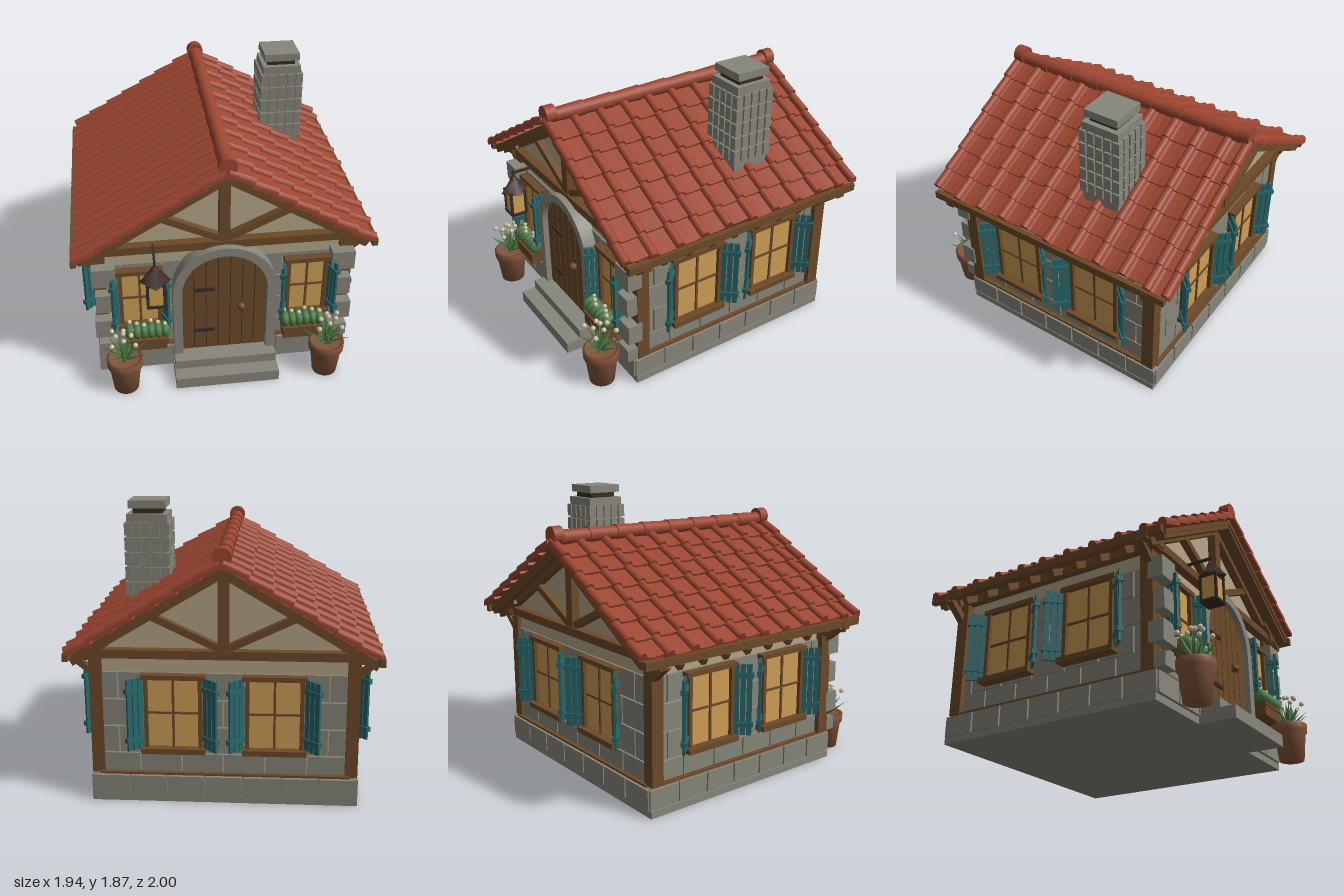
import * as THREE from 'three';

const M = {};
for (const [n, c] of Object.entries({
  roofTile: 0x9c4631, wood: 0x6d4a29, stone: 0x88867b, plaster: 0xb5a687, teal: 0x29676a,
  glow: 0xcf9f57, iron: 0x3a2b25, terracotta: 0x82553a, leaf: 0x4d7846, blossom: 0xd2c5a8,
})) { M[n] = new THREE.MeshStandardMaterial({ color: c }); M[n].name = n; }

function add(parent, name, geo, mat, x = 0, y = 0, z = 0) {
  const m = new THREE.Mesh(geo, mat);
  m.name = name;
  m.position.set(x, y, z);
  parent.add(m);
  return m;
}
const box = (p, n, mat, w, h, d, x, y, z) => add(p, n, new THREE.BoxGeometry(w, h, d), mat, x, y, z);
const cyl = (p, n, mat, r1, r2, h, x, y, z, s = 20) => add(p, n, new THREE.CylinderGeometry(r1, r2, h, s), mat, x, y, z);
function group(parent, name, x = 0, y = 0, z = 0) {
  const g = new THREE.Group();
  g.name = name;
  g.position.set(x, y, z);
  parent.add(g);
  return g;
}
// Timber running between two points of a plane facing z
function beam(p, n, x1, y1, x2, y2, z, t, d, mat = M.wood) {
  const b = box(p, n, mat, Math.hypot(x2 - x1, y2 - y1), t, d, (x1 + x2) / 2, (y1 + y2) / 2, z);
  b.rotation.z = Math.atan2(y2 - y1, x2 - x1);
}
const extrude = (pts, depth) => new THREE.ExtrudeGeometry(
  new THREE.Shape(pts.map(([x, y]) => new THREE.Vector2(x, y))), { depth, bevelEnabled: false });

// Window with frame, panes, sill and a pair of opened shutters; outward is +z
function makeWindow(parent, cx, z, half, y0, y1, shutterW, open) {
  const g = group(parent, 'window', cx, 0, z), h = y1 - y0, yc = (y0 + y1) / 2;
  box(g, 'pane', M.glow, half * 2, h, 0.02, 0, yc, 0.01);
  for (const s of [-1, 1]) box(g, 'jamb', M.wood, 0.025, h, 0.05, s * (half - 0.006), yc, 0.02);
  box(g, 'lintel', M.wood, half * 2 + 0.05, 0.03, 0.06, 0, y1, 0.025);
  box(g, 'sill', M.wood, half * 2 + 0.05, 0.035, 0.08, 0, y0 - 0.005, 0.035);
  box(g, 'mullion', M.wood, 0.015, h, 0.03, 0, yc, 0.015);
  box(g, 'crossbar', M.wood, half * 2, 0.013, 0.03, 0, yc, 0.015);
  for (const s of [-1, 1]) {
    const f = group(g, 'shutter', s * (half + 0.015), yc, 0.025);
    f.rotation.y = -s * open;
    for (let i = 0; i < 3; i++)
      box(f, 'shutterSlat', M.teal, shutterW / 3 - 0.006, h - 0.01, 0.016, s * shutterW * (i + 0.5) / 3, 0, 0);
    for (const y of [-1, 1])
      box(f, 'shutterBatten', M.teal, shutterW + 0.015, 0.03, 0.035, s * shutterW / 2, y * h * 0.34, 0);
  }
}

// Courses of stone on one wall; outward is +z
function makeWall(parent, name, half, out, angle) {
  const g = group(parent, name);
  g.rotation.y = angle;
  const rows = [0.2, 0.33, 0.51, 0.69, 0.87];
  for (let r = 0; r < 4; r++) {
    const pitch = half / 3, y0 = rows[r], h = rows[r + 1] - y0 - 0.01;
    for (let i = 0; i < 7; i++) {
      const a = Math.max(-half, -half + (i - (r % 2) / 2) * pitch);
      const b = Math.min(half, -half + (i + 1 - (r % 2) / 2) * pitch) - 0.01;
      if (b - a > 0.03) box(g, 'wallStone', M.stone, b - a, h, 0.03, (a + b) / 2, y0 + h / 2, out - 0.015);
    }
  }
  const w = 2 * (half + 0.045) / 7;
  for (let i = 0; i < 7; i++)
    box(g, 'plinthStone', M.stone, w - 0.012, 0.13, 0.03, (i - 3) * w, 0.115, out + 0.024);
  box(g, 'plinthTrim', M.wood, half * 2, 0.014, 0.03, 0, 0.192, out + 0.012);
  return g;
}

// One roof tile: a shallow pan with a roll along its edge, running down local +x
function tileGeo(w) {
  const pts = [[0, 0], [w, 0], [w, 0.02]];
  if (w > 0.08) pts.push([w * 0.67, 0.012], [0.075, 0.015]);
  for (let i = 0; i <= 8; i++) {
    const a = Math.PI * i / 8;
    pts.push([0.03 + 0.03 * Math.cos(a), 0.021 + 0.03 * Math.sin(a)]);
  }
  return extrude(pts, 0.175).rotateY(Math.PI / 2);
}

function makeRoofSide(parent, turn) {
  const side = group(parent, 'roofSide');
  side.rotation.y = turn;
  const g = group(side, 'roofSlope', 0, 1.555, 0);
  g.rotation.z = -Math.atan(0.6);
  const P = 0.185, full = tileGeo(P), edge = tileGeo(0.06);
  box(g, 'roofDeck', M.wood, 1.06, 0.03, 1.78, 0.53, -0.015, 0);
  for (let r = 0; r < 7; r++) for (let c = 0; c <= 10; c++) {
    const t = add(g, 'roofTile', c < 10 ? full : edge, M.roofTile,
      r * 0.151 + 0.006 * ((c * 3 + r * 2) % 4 - 1.5), 0, c < 10 ? 0.925 - c * P : -0.865);
    t.rotation.z = 0.11;
  }
  for (const s of [-1, 1]) box(g, 'bargeBoard', M.wood, 1.07, 0.055, 0.06, 0.535, -0.028, s * 0.85);
  for (let i = 0; i < 10; i++)
    box(g, 'rafterTail', M.wood, 0.26, 0.045, 0.035, 0.99, -0.05, (i - 4.5) * 0.177);
  box(side, 'eaveBoard', M.wood, 0.035, 0.05, 1.79, 0.95, 0.992, 0);
  box(side, 'wallPlate', M.wood, 0.06, 0.055, 1.62, 0.81, 0.99, 0);
}

// Door with planks, stone arch, hinges and steps; outward is +z
function makeDoor(parent) {
  const g = group(parent, 'entrance', 0, 0, 0.75);
  const arch = new THREE.Shape();
  arch.moveTo(-0.34, 0.1);
  arch.lineTo(-0.34, 0.65);
  arch.absarc(0, 0.65, 0.34, Math.PI, 0, true);
  arch.lineTo(0.34, 0.1);
  arch.lineTo(0.28, 0.1);
  arch.lineTo(0.28, 0.65);
  arch.absarc(0, 0.65, 0.28, 0, Math.PI, false);
  arch.lineTo(-0.28, 0.1);
  add(g, 'doorArch', new THREE.ExtrudeGeometry(arch, { depth: 0.1, bevelEnabled: false, curveSegments: 16 }), M.stone, 0, 0, -0.01);
  const arc = (x0, x1, r) => Array.from({ length: 9 }, (_, i) => {
    const x = x1 + (x0 - x1) * i / 8;
    return [x, 0.65 + Math.sqrt(Math.max(0, r * r - x * x))];
  });
  add(g, 'doorBacking', extrude([[-0.28, 0.14], [0.28, 0.14], ...arc(-0.28, 0.28, 0.28)], 0.04), M.iron);
  for (let i = 0; i < 7; i++) {
    const a = -0.28 + i * 0.08 + 0.003, b = a + 0.074;
    add(g, 'doorPlank', extrude([[a, 0.15], [b, 0.15], ...arc(a, b, 0.28)], 0.05), M.wood);
  }
  for (const y of [0.31, 0.65]) box(g, 'hinge', M.iron, 0.13, 0.025, 0.012, -0.13, y, 0.055);
  add(g, 'doorKnob', new THREE.SphereGeometry(0.027, 16, 12), M.wood, 0.11, 0.5, 0.07);
  box(g, 'lowerStep', M.stone, 0.69, 0.08, 0.29, 0, 0.04, 0.12);
  box(g, 'upperStep', M.stone, 0.68, 0.066, 0.19, 0, 0.112, 0.07);
}

function makePot(parent, x) {
  const g = group(parent, 'pottedPlant', x, 0, 0.865);
  const prof = [[0, 0], [0.083, 0], [0.105, 0.185], [0.117, 0.19], [0.119, 0.245], [0.1, 0.247], [0.098, 0.225], [0, 0.225]];
  add(g, 'pot', new THREE.LatheGeometry(prof.map(([a, b]) => new THREE.Vector2(a, b)), 20), M.terracotta);
  for (let i = 0; i < 21; i++) {
    const lean = [0.95, 0.6, 0.25][i % 3], len = 0.16 + 0.012 * (i % 4);
    const leaf = add(g, 'plantLeaf', new THREE.ConeGeometry(0.024, len, 4).scale(1, 1, 0.35).translate(0, len / 2, 0), M.leaf, 0, 0.23, 0);
    leaf.rotation.set(lean, i * 2.4, 0, 'YXZ');
  }
  for (let i = 0; i < 9; i++) {
    const r = i ? 0.05 + 0.055 * (i % 2) : 0, a = i * 0.79;
    add(g, 'plantFlower', new THREE.IcosahedronGeometry(0.017, 1), M.blossom, r * Math.cos(a), 0.45 - r * 0.35, r * Math.sin(a));
  }
}

function makeWindowBox(parent, x) {
  const g = group(parent, 'windowBox', x, 0, 0.77);
  box(g, 'planter', M.wood, 0.25, 0.08, 0.1, 0, 0.295, 0);
  box(g, 'planterRim', M.wood, 0.27, 0.02, 0.115, 0, 0.335, 0);
  for (let i = 0; i < 6; i++) {
    const px = (i - 2.5) * 0.046;
    add(g, 'hedge', new THREE.SphereGeometry(0.06, 12, 8).scale(0.6, 0.9, 1), M.leaf, px, 0.39, 0.005);
    add(g, 'boxFlower', new THREE.IcosahedronGeometry(0.015, 1), M.blossom, px, 0.446, 0.02 * (i % 3 - 1));
  }
}

function makeLantern(parent) {
  const g = group(parent, 'lantern', -0.455, 0, 0.88);
  cyl(g, 'lanternRoof', M.iron, 0.03, 0.1, 0.09, 0, 0.915, 0, 4);
  cyl(g, 'lanternCap', M.iron, 0.012, 0.03, 0.025, 0, 0.97, 0, 8);
  cyl(g, 'lanternHook', M.iron, 0.006, 0.006, 0.06, 0, 1.0, 0, 8);
  box(g, 'lanternArm', M.iron, 0.015, 0.015, 0.2, 0, 1.01, -0.09);
  box(g, 'lanternGlass', M.glow, 0.095, 0.16, 0.095, 0, 0.79, 0);
  for (const y of [0.705, 0.872]) box(g, 'lanternBand', M.iron, 0.12, 0.016, 0.12, 0, y, 0);
  for (const a of [-1, 1]) for (const b of [-1, 1]) box(g, 'lanternBar', M.iron, 0.015, 0.17, 0.015, a * 0.051, 0.79, b * 0.051);
}

function makeChimney(parent) {
  const g = group(parent, 'chimney', 0.515, 0, -0.31);
  box(g, 'chimneyCore', M.stone, 0.26, 0.63, 0.26, 0, 1.47, 0);
  for (let r = 0; r < 5; r++) for (let i = -2; i < 3; i++) for (let k = -2; k < 3; k++)
    if (Math.max(Math.abs(i), Math.abs(k)) === 2)
      box(g, 'chimneyStone', M.stone, 0.047, 0.082, 0.047, i * 0.0605, 1.31 + r * 0.095, k * 0.0605);
  box(g, 'flue', M.iron, 0.19, 0.04, 0.19, 0, 1.803, 0);
  box(g, 'chimneyCap', M.stone, 0.24, 0.05, 0.24, 0, 1.845, 0);
}

export function createModel() {
  const model = new THREE.Group();
  model.name = 'cottage';
  const house = group(model, 'house', 0, 0, -0.075);

  // Plastered core with gables, standing on the plinth
  add(house, 'plasterCore', extrude([[-0.79, 0.15], [0.79, 0.15], [0.79, 1.03], [0, 1.505], [-0.79, 1.03]], 1.47), M.plaster, 0, 0, -0.735);
  box(house, 'plinth', M.stone, 1.66, 0.185, 1.53, 0, 0.0925, 0);
  box(house, 'plinthFoot', M.stone, 1.69, 0.045, 1.55, 0, 0.0225, 0);

  // Stone walls and their windows
  const front = makeWall(house, 'frontWall', 0.79, 0.75, 0);
  const back = makeWall(house, 'backWall', 0.79, 0.75, Math.PI);
  for (const s of [-1, 1]) {
    makeWindow(front, s * 0.55, 0.75, 0.13, 0.4, 0.82, 0.1, 1.2);
    makeWindow(back, s * 0.315, 0.75, 0.175, 0.37, 0.845, 0.12, 0.75);
    const w = makeWall(house, 'sideWall', 0.74, 0.805, s * Math.PI / 2);
    for (const k of [-1, 1]) makeWindow(w, k * 0.308, 0.805, 0.175, 0.37, 0.845, 0.12, 0.75);
  }
  makeDoor(house);

  // Corner posts, brackets and front quoins
  for (const s of [-1, 1]) {
    for (const k of [-1, 1]) {
      box(house, 'cornerPost', M.wood, 0.08, 0.78, 0.085, s * 0.8, 0.58, k * 0.72);
      beam(house, 'eaveBracket', s * 0.82, 0.86, s * 0.95, 0.97, k * 0.74, 0.04, 0.05);
      box(house, 'tieBeamEnd', M.wood, 0.2, 0.05, 0.06, s * 0.87, 0.975, k * 0.77);
    }
    [0.82, 0.615, 0.41, 0.24].forEach((y, i) => {
      const w = i % 2 ? 0.12 : 0.15;
      box(house, 'quoin', M.stone, w, i === 3 ? 0.09 : 0.135, 0.1, s * (0.85 - w / 2 - 0.015 * (i % 2)), y, 0.785);
    });
  }

  // Timber trusses on both gables
  for (const k of [-1, 1]) {
    const z = k * 0.755;
    box(house, 'tieBeam', M.wood, 1.64, 0.055, 0.08, 0, 0.99, z);
    box(house, 'kingPost', M.wood, 0.07, 0.5, 0.07, 0, 1.265, z);
    for (const s of [-1, 1]) {
      beam(house, 'trussStrut', s * 0.02, 1.025, s * 0.44, 1.225, z, 0.045, 0.055);
      beam(house, 'trussRafter', 0, 1.5, s * 0.88, 0.972, z, 0.05, 0.07);
    }
  }

  // Roof slopes and ridge tiles
  makeRoofSide(house, 0);
  makeRoofSide(house, Math.PI);
  for (let i = 0; i < 8; i++)
    cyl(house, 'ridgeTile', M.roofTile, 0.044, 0.052, 0.22, 0, 1.6, (i - 3.5) * 0.212).rotation.x = Math.PI / 2;
  for (const k of [-1, 1])
    cyl(house, 'ridgeEnd', M.roofTile, 0.058, 0.058, 0.07, 0, 1.617, k * 0.875).rotation.x = Math.PI / 2;

  // Chimney, lantern and planting
  makeChimney(model);
  makeLantern(model);
  for (const s of [-1, 1]) {
    makePot(model, s * 0.675);
    makeWindowBox(model, s * 0.515);
  }
  return model;
}
